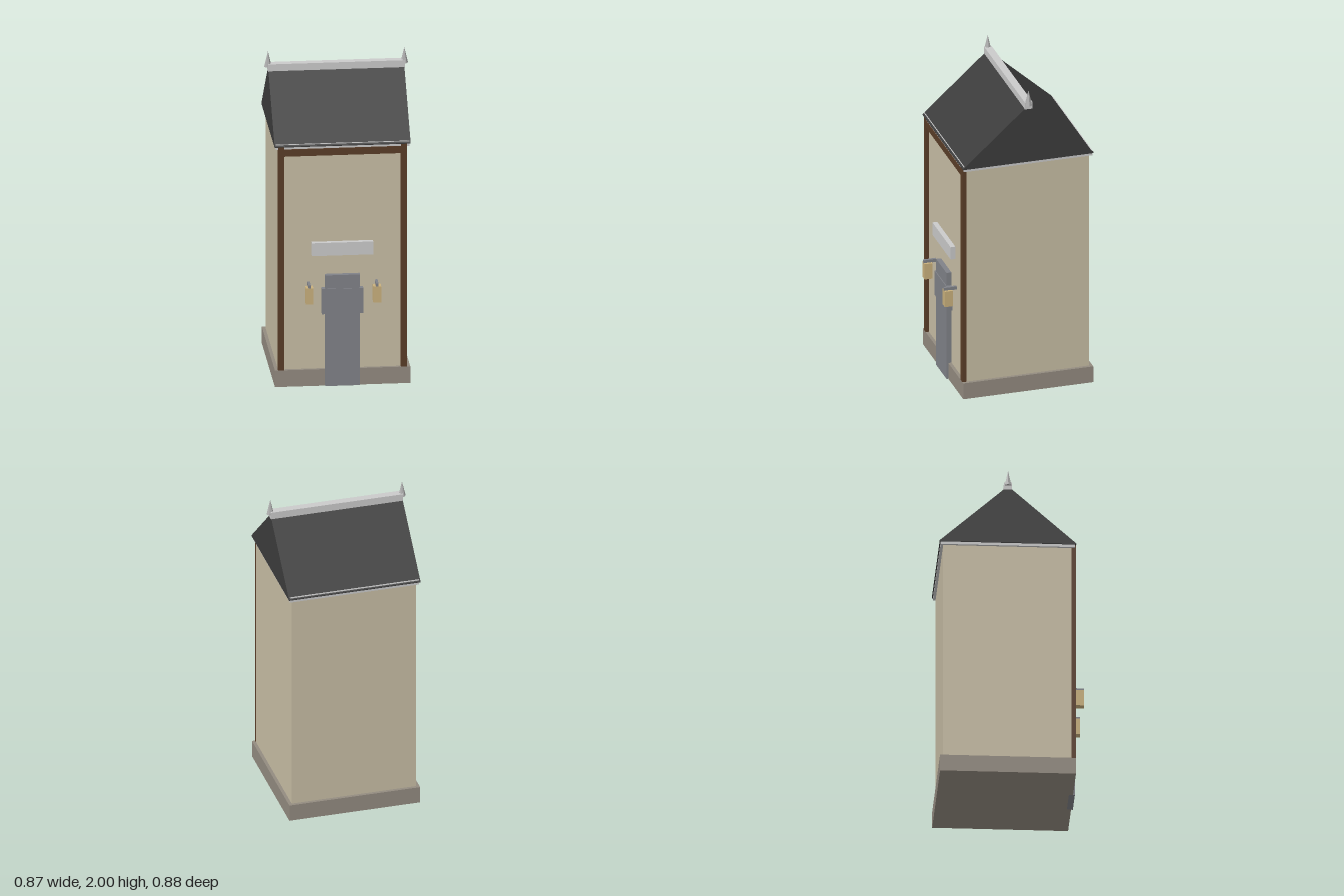
import * as THREE from 'three';

const paint = (name, color) => {
  const m = new THREE.MeshStandardMaterial({ color });
  m.name = name;
  return m;
};

export function createModel() {
  const wall = paint('cream wall', 0xc8bea5);
  const stone = paint('plinth stone', 0x938b80);
  const slate = paint('dark slate', 0x3c3c3c);
  const trim = paint('pale trim', 0xcacaca);
  const timber = paint('brown timber', 0x5a3d28);
  const grey = paint('door grey', 0x808288);
  const amber = paint('lantern amber', 0xc9b07c);
  const metal = paint('finial metal', 0xb0b0b0);

  const model = new THREE.Group();
  const midZ = -0.03; // centre line of the building

  const add = (name, geometry, material) => {
    const mesh = new THREE.Mesh(geometry, material);
    mesh.name = name;
    model.add(mesh);
    return mesh;
  };
  // Box given by its extents on each axis
  const box = (name, material, [x0, x1], [y0, y1], [z0, z1]) => {
    const mesh = add(name, new THREE.BoxGeometry(x1 - x0, y1 - y0, z1 - z0), material);
    mesh.position.set((x0 + x1) / 2, (y0 + y1) / 2, (z0 + z1) / 2);
    return mesh;
  };

  // Base, walls and eaves
  box('plinth', stone, [-0.41, 0.41], [0, 0.105], [-0.44, 0.38]);
  box('walls', wall, [-0.39, 0.39], [0.1, 1.52], [-0.42, 0.36]);
  box('eavesTrim', trim, [-0.405, 0.405], [1.508, 1.541], [-0.436, 0.374]);

  // Gabled roof: trapezoid section extruded along x
  const section = new THREE.Shape([
    [-0.412, 1.525], [0.412, 1.525], [0.412, 1.53], [0.022, 1.88], [-0.022, 1.88], [-0.412, 1.53],
  ].map(([z, y]) => new THREE.Vector2(z, y)));
  const roofGeometry = new THREE.ExtrudeGeometry(section, { depth: 0.824, bevelEnabled: false });
  roofGeometry.translate(0, 0, -0.412).rotateY(Math.PI / 2);
  add('roof', roofGeometry, slate).position.z = midZ;

  box('ridgeCap', trim, [-0.414, 0.414], [1.876, 1.923], [-0.054, -0.007]);

  // Timber frame on the front
  box('frameBeam', timber, [-0.36, 0.36], [1.465, 1.51], [0.355, 0.378]);

  // Door with a wider middle panel
  box('door', grey, [-0.105, 0.105], [0, 0.705], [0.355, 0.391]);
  box('doorPanel', grey, [-0.125, 0.125], [0.46, 0.62], [0.355, 0.396]);
  box('signBoard', trim, [-0.185, 0.185], [0.83, 0.912], [0.355, 0.39]);

  // Mirrored posts, lanterns and finials
  for (const [side, s] of [['left', 1], ['right', -1]]) {
    const span = (a, b) => (s > 0 ? [a, b] : [-b, -a]);
    box(side + 'Post', timber, span(0.353, 0.391), [0.105, 1.527], [0.355, 0.38]);
    box(side + 'Lantern', amber, span(0.181, 0.229), [0.54, 0.642], [0.39, 0.44]);
    box(side + 'LanternBracket', grey, span(0.197, 0.213), [0.64, 0.66], [0.355, 0.44]);
    const finial = new THREE.ConeGeometry(0.023, 0.098, 6).toNonIndexed();
    finial.computeVertexNormals();
    finial.rotateY(Math.PI / 6);
    add(side + 'Finial', finial, metal).position.set(s * 0.413, 1.951, midZ);
  }

  return model;
}
